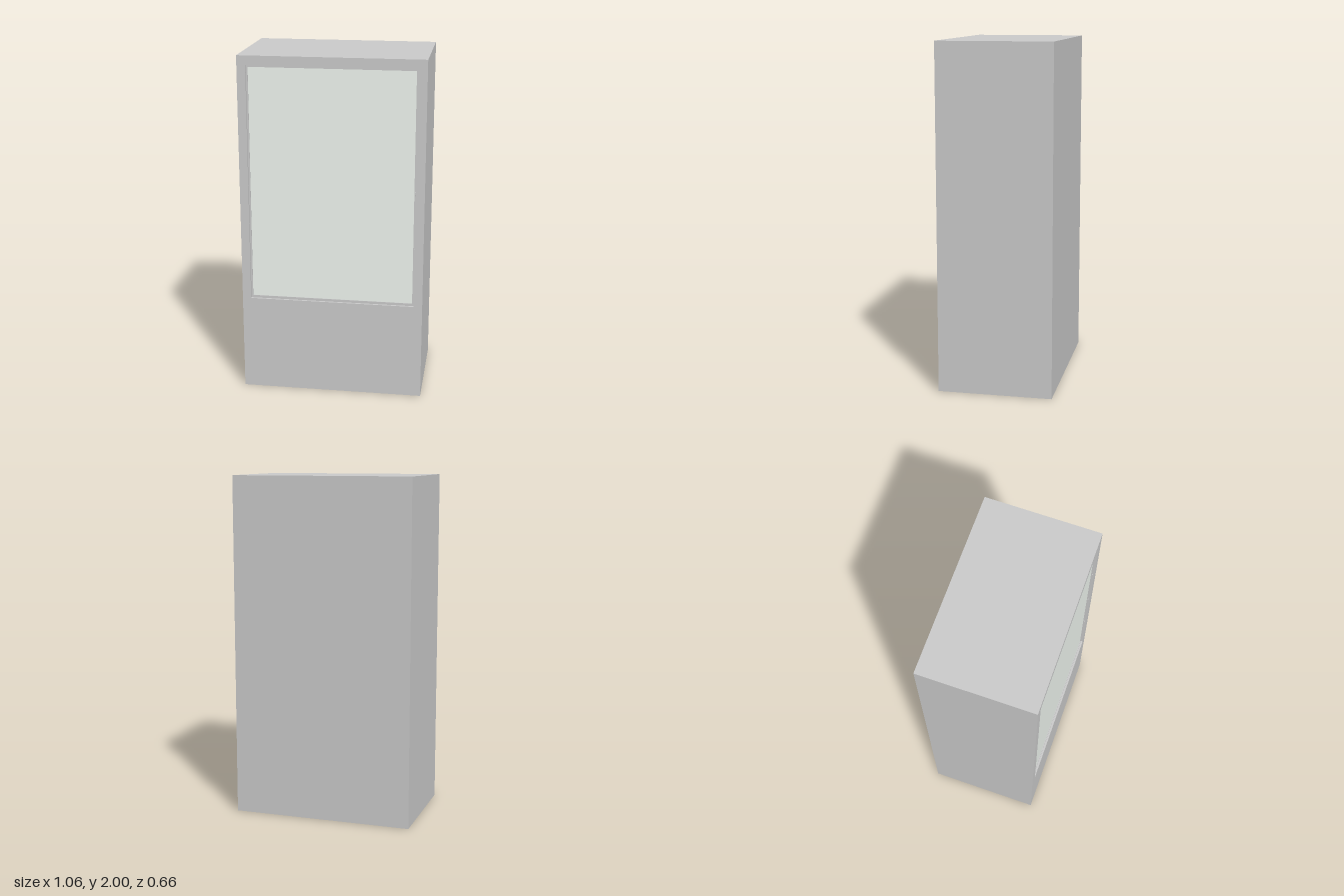
import * as THREE from 'three';

const W = 1.06, H = 2, D = 0.66, FRONT = D / 2;
const OPEN = { x: 0.48, y0: 0.565, y1: 1.948 };   // door opening
const GLASS = { x: 0.47, y0: 0.58, y1: 1.935 };   // pane inside the door frame
const RECESS = 0.012;

const grey = new THREE.MeshStandardMaterial({ color: 0xcccccc });
const greyThin = new THREE.MeshStandardMaterial({ color: 0xcccccc, side: THREE.DoubleSide });
const glassTint = new THREE.MeshStandardMaterial({ color: 0xf0f7f1 });

// Rectangle with slightly rounded corners, as a Shape or Path
function outline(Type, { x, y0, y1 }, r = 0) {
  const p = new Type();
  p.moveTo(-x + r, y0);
  p.lineTo(x - r, y0);
  if (r) p.quadraticCurveTo(x, y0, x, y0 + r);
  p.lineTo(x, y1 - r);
  if (r) p.quadraticCurveTo(x, y1, x - r, y1);
  p.lineTo(-x + r, y1);
  if (r) p.quadraticCurveTo(-x, y1, -x, y1 - r);
  p.lineTo(-x, y0 + r);
  if (r) p.quadraticCurveTo(-x, y0, -x + r, y0);
  return p;
}

function add(group, name, geometry, material, x = 0, y = 0, z = 0) {
  const mesh = new THREE.Mesh(geometry, material);
  mesh.name = name;
  mesh.position.set(x, y, z);
  group.add(mesh);
  return mesh;
}

export function createModel() {
  const model = new THREE.Group();
  model.name = 'displayCabinet';

  // Cabinet shell: a box without its front face
  const shell = new THREE.BoxGeometry(W, H, D);
  const index = Array.from(shell.index.array);
  index.splice(24, 6);
  shell.setIndex(index);
  shell.clearGroups();
  add(model, 'cabinetShell', shell, greyThin, 0, H / 2, 0);

  // Front face with the door opening
  const face = outline(THREE.Shape, { x: W / 2, y0: 0, y1: H });
  face.holes.push(outline(THREE.Path, OPEN, 0.006));
  add(model, 'frontPanel', new THREE.ShapeGeometry(face, 3), grey, 0, 0, FRONT);

  // Walls of the shallow recess around the door
  const midY = (OPEN.y0 + OPEN.y1) / 2, height = OPEN.y1 - OPEN.y0;
  const z = FRONT - RECESS / 2;
  for (const s of [-1, 1]) {
    const side = add(model, 'recessSide', new THREE.PlaneGeometry(RECESS, height), greyThin, s * OPEN.x, midY, z);
    side.rotation.y = -s * Math.PI / 2;
    const end = add(model, 'recessEnd', new THREE.PlaneGeometry(OPEN.x * 2, RECESS), greyThin, 0, midY + s * height / 2, z);
    end.rotation.x = s * Math.PI / 2;
  }

  // Door: thin frame around a tinted pane
  const door = new THREE.Group();
  door.name = 'door';
  model.add(door);
  const frame = outline(THREE.Shape, OPEN);
  frame.holes.push(outline(THREE.Path, GLASS));
  const frameGeometry = new THREE.ExtrudeGeometry(frame, { depth: 0.02, bevelEnabled: false });
  add(door, 'doorFrame', frameGeometry, grey, 0, 0, FRONT - RECESS - 0.02);
  add(door, 'glassPane',
    new THREE.BoxGeometry(GLASS.x * 2, GLASS.y1 - GLASS.y0, 0.012), glassTint,
    0, (GLASS.y0 + GLASS.y1) / 2, FRONT - RECESS - 0.01);

  // Small hinges along the door's left edge
  for (const y of [0.9, 1.24, 1.585]) {
    add(door, 'hinge', new THREE.BoxGeometry(0.006, 0.026, 0.006), grey, 0.475, y, FRONT - RECESS + 0.002);
  }
  return model;
}
